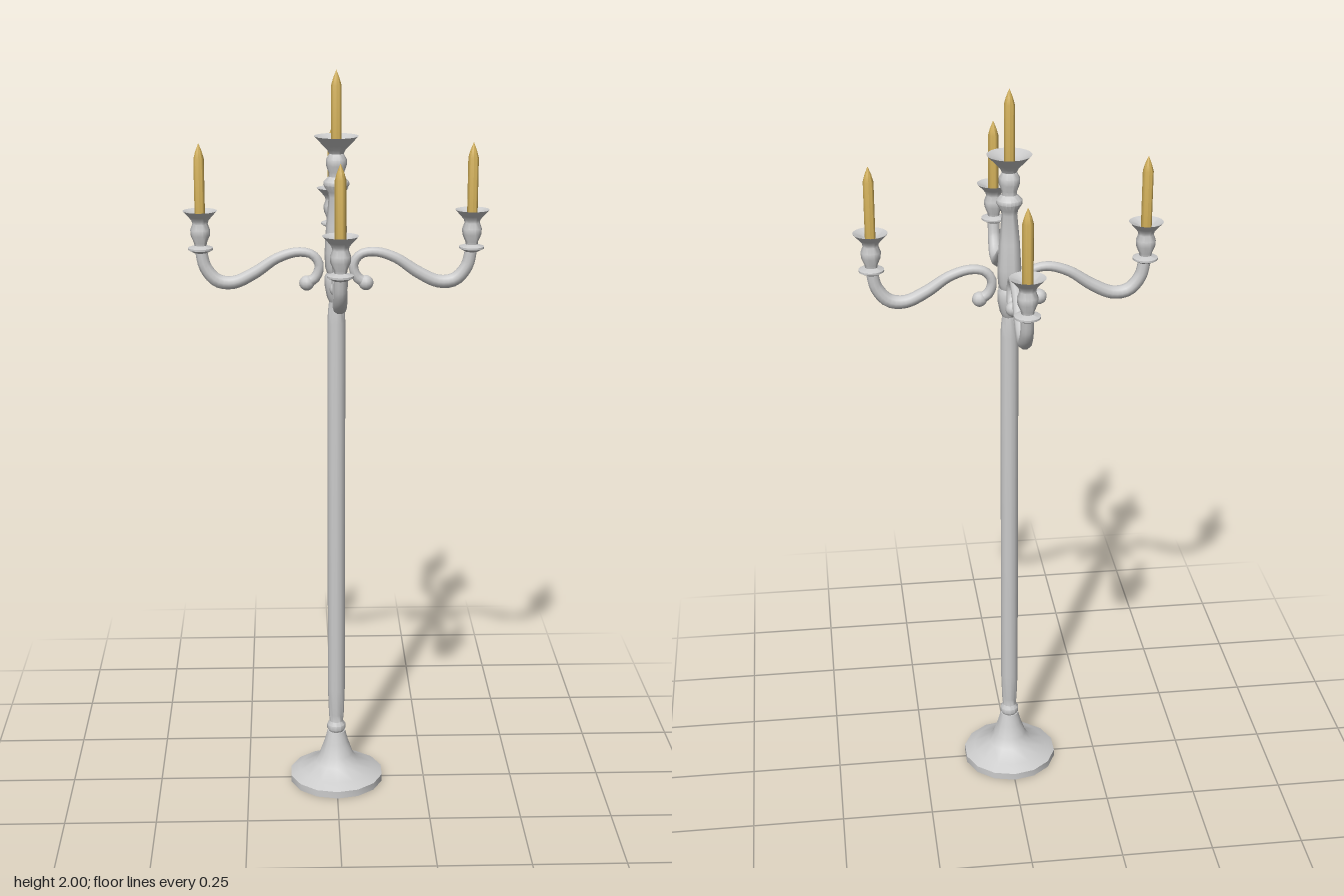
import * as THREE from 'three';
import { toCreasedNormals } from 'three/addons/utils/BufferGeometryUtils.js';

const metal = new THREE.MeshStandardMaterial({ color: 0xcccccc, side: THREE.DoubleSide });
const wax = new THREE.MeshStandardMaterial({ color: 0xd0ae58 });

// Turned part from [radius, height] pairs, listed bottom to top
function turned(name, profile, sides, material = metal) {
  const points = profile.map(([r, y]) => new THREE.Vector2(r, y));
  const mesh = new THREE.Mesh(toCreasedNormals(new THREE.LatheGeometry(points, sides), 0.7), material);
  mesh.name = name;
  return mesh;
}

// Candle with a pointed tip
function candle(bottom, top) {
  return turned('candle', [
    [0, bottom], [0.014, bottom], [0.014, top - 0.04], [0.009, top - 0.022], [0, top],
  ], 10, wax);
}

// Tube whose radius follows a list of values along its path
function taperedTube(path, radii, steps, sides) {
  const geometry = new THREE.TubeGeometry(path, steps, 1, sides);
  const pos = geometry.attributes.position;
  const v = new THREE.Vector3();
  for (let i = 0; i <= steps; i++) {
    const centre = path.getPointAt(i / steps);
    const f = (i / steps) * (radii.length - 1);
    const k = Math.min(Math.floor(f), radii.length - 2);
    const r = THREE.MathUtils.lerp(radii[k], radii[k + 1], f - k);
    for (let j = 0; j <= sides; j++) {
      const n = i * (sides + 1) + j;
      v.fromBufferAttribute(pos, n).sub(centre).multiplyScalar(r).add(centre);
      pos.setXYZ(n, v.x, v.y, v.z);
    }
  }
  return geometry;
}

// One scrolled arm reaching along +x, with its candle holder
function createArm() {
  const arm = new THREE.Group();
  arm.name = 'arm';
  const path = new THREE.CatmullRomCurve3([
    [0.078, 1.447], [0.055, 1.462], [0.045, 1.495], [0.062, 1.522], [0.1, 1.53], [0.155, 1.514],
    [0.215, 1.475], [0.27, 1.45], [0.312, 1.455], [0.343, 1.49], [0.355, 1.54],
  ].map(([x, y]) => new THREE.Vector3(x, y, 0)));
  const scroll = new THREE.Mesh(
    taperedTube(path, [0.015, 0.013, 0.012, 0.013, 0.014, 0.016, 0.017, 0.018, 0.017, 0.016], 36, 10), metal);
  scroll.name = 'scroll';

  const knob = new THREE.Mesh(new THREE.SphereGeometry(0.02, 12, 8), metal);
  knob.name = 'scrollKnob';
  knob.position.set(0.078, 1.447, 0);

  const holder = new THREE.Group();
  holder.name = 'candleHolder';
  holder.position.x = 0.355;
  holder.add(
    turned('holderCup', [
      [0, 1.528], [0.018, 1.53], [0.033, 1.538], [0.033, 1.543], [0.016, 1.549], [0.017, 1.556],
      [0.025, 1.575], [0.026, 1.59], [0.02, 1.606], [0.022, 1.614], [0.03, 1.624], [0.045, 1.64],
      [0.026, 1.631], [0.013, 1.622], [0, 1.622],
    ], 20),
    candle(1.622, 1.815),
  );
  arm.add(scroll, knob, holder);
  return arm;
}

export function createModel() {
  const model = new THREE.Group();
  model.name = 'candelabrum';

  // Foot, with the pole standing on it
  model.add(turned('foot', [
    [0, 0], [0.132, 0], [0.132, 0.02], [0.105, 0.034], [0.062, 0.055], [0.047, 0.078],
    [0.034, 0.115], [0.025, 0.148], [0, 0.148],
  ], 14));
  model.add(turned('pole', [
    [0.02, 0.145], [0.026, 0.155], [0.026, 0.168], [0.019, 0.178], [0.021, 0.2], [0.024, 0.28],
    [0.024, 1.34], [0.022, 1.375], [0.019, 1.4],
  ], 12));

  // Centre stem, collar and top cup
  model.add(turned('stem', [
    [0.018, 1.395], [0.025, 1.41], [0.031, 1.44], [0.031, 1.465], [0.025, 1.475], [0.03, 1.49],
    [0.031, 1.53], [0.027, 1.6], [0.02, 1.675], [0.023, 1.688], [0.034, 1.706], [0.033, 1.715],
    [0.02, 1.728], [0.02, 1.738], [0.027, 1.757], [0.027, 1.772], [0.019, 1.787], [0.024, 1.797],
    [0.037, 1.81], [0.058, 1.832], [0.034, 1.821], [0.014, 1.811], [0, 1.811],
  ], 20));
  model.add(candle(1.811, 2));

  // Four arms around the stem
  for (let i = 0; i < 4; i++) {
    const arm = createArm();
    arm.rotation.y = (i * Math.PI) / 2;
    model.add(arm);
  }
  return model;
}
